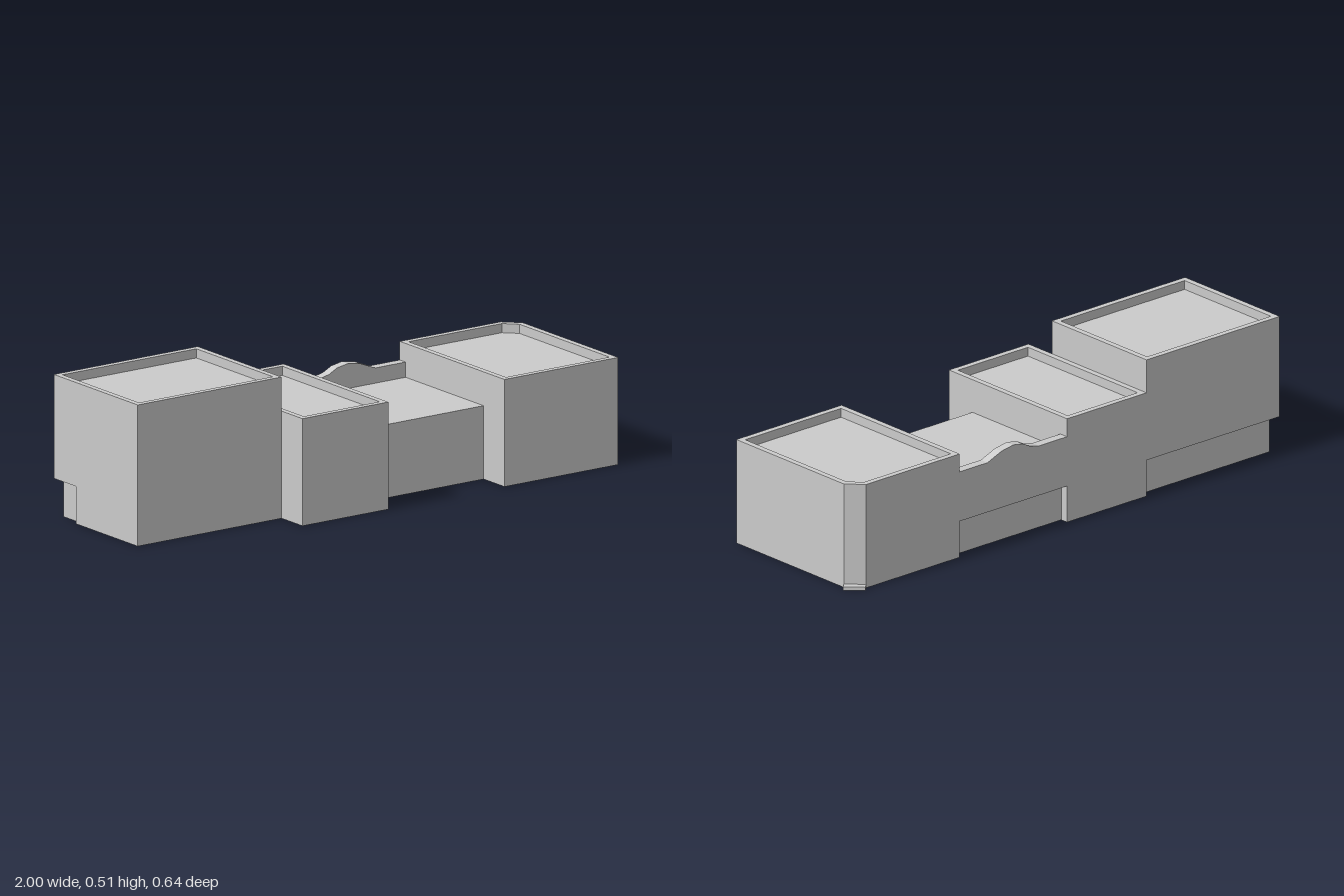
import * as THREE from 'three';

const material = new THREE.MeshStandardMaterial({ color: 0xcccccc });

const BACK = -0.3, FRONT = 0.318, SHORT_FRONT = 0.195;
const RIM = 0.022, TRAY = 0.033, UNDERCUT = 0.135, RECESS = 0.03;

// Upright prism over a plan outline of [x, z] points, with an optional hole
function prism(name, plan, y0, y1, hole) {
  const toVec = ([x, z]) => new THREE.Vector2(x, -z);
  const shape = new THREE.Shape(plan.map(toVec));
  if (hole) shape.holes.push(new THREE.Path(hole.map(toVec)));
  const geometry = new THREE.ExtrudeGeometry(shape, { depth: y1 - y0, bevelEnabled: false });
  geometry.rotateX(-Math.PI / 2).translate(0, y0, 0);
  const mesh = new THREE.Mesh(geometry, material);
  mesh.name = name;
  return mesh;
}

// Plan rectangle, optionally with its back +x corner cut off
function plan(x0, x1, z0, z1, cut = 0) {
  const corner = cut ? [[x1, z0 + cut], [x1 - cut, z0]] : [[x1, z0]];
  return [[x0, z1], [x1, z1], ...corner, [x0, z0]];
}

// Block with a raised rim around a sunken flat roof, standing on an optional foot
function building(name, x0, x1, z1, height, { cut = 0, foot = null } = {}) {
  const group = new THREE.Group();
  group.name = name;
  const outer = plan(x0, x1, BACK, z1, cut);
  const inner = plan(x0 + RIM, x1 - RIM, BACK + RIM, z1 - RIM, cut * 0.8);
  if (foot) group.add(prism('foot', foot, 0, UNDERCUT));
  group.add(prism('walls', outer, foot ? UNDERCUT : 0, height - TRAY));
  group.add(prism('roofRim', outer, height - TRAY, height, inner));
  return group;
}

export function createModel() {
  const model = new THREE.Group();
  model.name = 'buildingRow';

  // Tall block, undercut along the back and around its outer corner
  const tallFoot = [
    [-1, SHORT_FRONT], [-0.38, SHORT_FRONT], [-0.38, BACK + RECESS],
    [-0.98, BACK + RECESS], [-0.98, -0.17], [-1, -0.17],
  ];
  model.add(building('tallBlock', -1, -0.38, SHORT_FRONT, 0.51, { foot: tallFoot }));

  // Narrow block and corner block
  model.add(building('narrowBlock', -0.38, -0.01, FRONT, 0.387));
  model.add(building('cornerBlock', 0.49, 0.98, FRONT, 0.387, { cut: 0.055 }));

  // Low middle block, undercut along the back
  model.add(prism('middleFoot', plan(-0.01, 0.49, BACK + RECESS, SHORT_FRONT), 0, UNDERCUT));
  model.add(prism('middleWalls', plan(-0.01, 0.49, BACK, SHORT_FRONT), UNDERCUT, 0.265));

  // Back parapet with a curved crest
  const crest = new THREE.Shape([
    [-0.01, 0.265], [0.49, 0.265], [0.49, 0.32], [0.36, 0.32], [0.295, 0.346],
    [0.24, 0.355], [0.195, 0.347], [0.16, 0.329], [0.12, 0.32], [-0.01, 0.32],
  ].map(([x, y]) => new THREE.Vector2(x, y)));
  const parapet = new THREE.Mesh(
    new THREE.ExtrudeGeometry(crest, { depth: 0.035, bevelEnabled: false }), material);
  parapet.position.z = BACK;
  parapet.name = 'parapet';
  model.add(parapet);

  // Doorstep at the cut corner
  model.add(prism('doorstep',
    [[0.98, -0.245], [1, -0.263], [0.945, -0.318], [0.925, -0.3]], 0, 0.013));

  return model;
}
